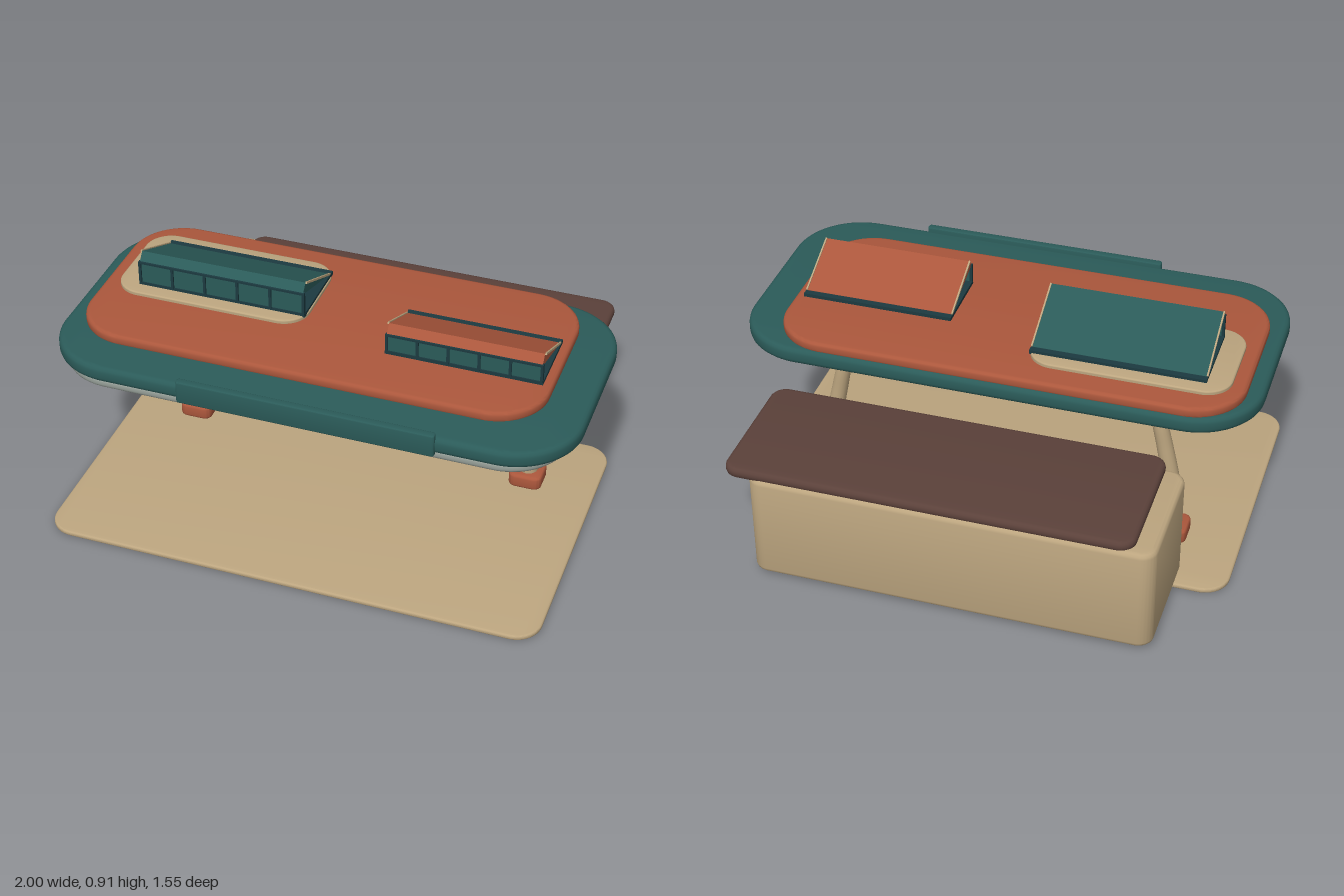
import * as THREE from 'three';
import { toCreasedNormals } from 'three/addons/utils/BufferGeometryUtils.js';

const paint = (name, color) => {
  const m = new THREE.MeshStandardMaterial({ color });
  m.name = name;
  return m;
};

export function createModel() {
  const tan = paint('sand', 0xbca57f);
  const teal = paint('teal', 0x2b5b59);
  const dark = paint('dark teal', 0x1c3a40);
  const rust = paint('rust', 0xab573c);
  const brown = paint('brown', 0x5b413a);
  const grey = paint('pale grey', 0x969f98);

  const model = new THREE.Group();
  model.name = 'fillingStation';

  const add = (name, geo, mat, parent = model) => {
    const mesh = new THREE.Mesh(geo, mat);
    mesh.name = name;
    parent.add(mesh);
    return mesh;
  };

  // Box given by its extents
  const box = (name, mat, x0, x1, y0, y1, z0, z1, parent) => {
    const g = new THREE.BoxGeometry(x1 - x0, y1 - y0, z1 - z0);
    g.translate((x0 + x1) / 2, (y0 + y1) / 2, (z0 + z1) / 2);
    return add(name, g, mat, parent);
  };

  // Flat slab with rounded corners and rounded upper and lower edges
  const slab = (name, mat, x0, x1, y0, y1, z0, z1, r, b, parent) => {
    const w = (x1 - x0) / 2 - b, d = (z1 - z0) / 2 - b, c = Math.max(r - b, 0.003);
    const s = new THREE.Shape();
    s.moveTo(w, -d + c);
    s.absarc(w - c, d - c, c, 0, Math.PI / 2);
    s.absarc(-w + c, d - c, c, Math.PI / 2, Math.PI);
    s.absarc(-w + c, -d + c, c, Math.PI, Math.PI * 1.5);
    s.absarc(w - c, -d + c, c, Math.PI * 1.5, Math.PI * 2);
    const g = new THREE.ExtrudeGeometry(s, {
      depth: y1 - y0 - 2 * b, bevelEnabled: true, bevelSize: b,
      bevelThickness: b, bevelSegments: 3, curveSegments: 10,
    });
    g.rotateX(-Math.PI / 2);
    g.translate((x0 + x1) / 2, y0 + b, (z0 + z1) / 2);
    return add(name, toCreasedNormals(g, 0.6), mat, parent);
  };

  // Forecourt and shop
  slab('forecourt', tan, -0.96, 0.96, 0, 0.02, -0.4, 0.77, 0.1, 0.006);
  slab('shopWalls', tan, -0.77, 0.765, 0.018, 0.445, -0.78, -0.265, 0.06, 0.02);
  slab('shopRoof', brown, -0.69, 0.86, 0.432, 0.475, -0.77, -0.23, 0.06, 0.017);

  // Shop windows: frame, pane and glazing bars
  for (const [x0, x1] of [[-0.665, -0.345], [-0.115, 0.215], [0.36, 0.69]]) {
    const win = new THREE.Group();
    win.name = 'shopWindow';
    model.add(win);
    box('pane', teal, x0 + 0.01, x1 - 0.01, 0.185, 0.375, -0.27, -0.25, win);
    for (const y of [0.175, 0.373]) box('frameRail', dark, x0, x1, y, y + 0.012, -0.27, -0.24, win);
    for (const x of [x0, x1 - 0.012]) box('frameStile', dark, x, x + 0.012, 0.175, 0.385, -0.27, -0.24, win);
    for (const t of [0.25, 0.75]) {
      const x = x0 + t * (x1 - x0);
      box('glazingBar', tan, x - 0.004, x + 0.004, 0.187, 0.373, -0.255, -0.245, win);
    }
    box('transom', tan, x0 + 0.012, x1 - 0.012, 0.332, 0.34, -0.255, -0.245, win);
  }

  // Door with framed light and handle
  const door = new THREE.Group();
  door.name = 'door';
  model.add(door);
  box('doorLeaf', teal, -0.305, -0.125, 0.02, 0.385, -0.27, -0.248, door);
  box('doorPane', dark, -0.28, -0.15, 0.16, 0.345, -0.25, -0.238, door);
  for (const y of [0.15, 0.345]) box('doorRail', grey, -0.287, -0.143, y, y + 0.01, -0.25, -0.225, door);
  for (const x of [-0.287, -0.153]) box('doorStile', grey, x, x + 0.01, 0.15, 0.355, -0.25, -0.225, door);
  box('doorGlass', teal, -0.262, -0.168, 0.175, 0.33, -0.24, -0.232, door);
  box('doorHandle', tan, -0.178, -0.17, 0.17, 0.32, -0.235, -0.218, door);

  // Canopy layers, bottom to top
  slab('soffit', grey, -0.955, 0.955, 0.632, 0.675, -0.255, 0.635, 0.22, 0.015);
  slab('canopyRim', teal, -1, 1, 0.66, 0.725, -0.325, 0.643, 0.26, 0.02);
  slab('canopyTop', rust, -0.94, 0.845, 0.715, 0.76, -0.31, 0.482, 0.2, 0.014);
  slab('roofPad', tan, -0.885, -0.125, 0.755, 0.775, -0.21, 0.21, 0.1, 0.006);
  slab('fasciaPanel', teal, -0.44, 0.53, 0.655, 0.745, 0.626, 0.656, 0.01, 0.005);

  // Roof light: leaning cover, glazed front, end trims and base
  const roofLight = (x0, x1, z0, z1, y0, y1, cover) => {
    const g = new THREE.Group();
    g.name = 'roofLight';
    model.add(g);
    box('base', dark, x0 - 0.006, x1 + 0.006, y0 - 0.012, y0 + 0.004, z0, z1, g);
    const wedge = (name, mat, xa, xb, lift) => {
      const s = new THREE.Shape();
      s.moveTo(-z1, y1 - 0.035);
      s.lineTo(-z0 - 0.025, y0);
      s.lineTo(-z0 - 0.025, y0 + 0.005 + lift);
      s.lineTo(-z1 + 0.03, y1 + lift);
      s.closePath();
      const e = new THREE.ExtrudeGeometry(s, { depth: xb - xa, bevelEnabled: false });
      e.rotateY(Math.PI / 2);
      e.translate(xa, 0, 0);
      add(name, e, mat, g);
    };
    wedge('cover', cover, x0, x1, 0);
    // Trim strips along the sloping edges
    const dz = z1 - 0.03 - z0 - 0.025, dy = y1 - y0 - 0.005;
    for (const x of [x0 - 0.003, x1 + 0.003]) {
      const t = box('edgeTrim', tan, -0.003, 0.003, -0.004, 0.004, -Math.hypot(dz, dy) / 2, Math.hypot(dz, dy) / 2, g);
      t.position.set(x, (y0 + 0.005 + y1) / 2, (z0 + 0.025 + z1 - 0.03) / 2);
      t.rotation.x = -Math.atan2(dy, dz);
    }
    box('frontGlass', teal, x0, x1, y0, y1 - 0.033, z1 - 0.012, z1 - 0.004, g);
    for (let i = 0; i <= 5; i++) {
      const x = x0 + (i / 5) * (x1 - x0);
      box('mullion', dark, x - 0.005, x + 0.005, y0, y1 - 0.03, z1 - 0.012, z1 + 0.003, g);
    }
    box('headRail', dark, x0, x1, y1 - 0.038, y1 - 0.03, z1 - 0.012, z1 + 0.003, g);
  };
  roofLight(-0.79, -0.135, -0.155, 0.155, 0.782, 0.906, teal);
  roofLight(0.225, 0.805, -0.02, 0.26, 0.77, 0.876, rust);

  // Bent, tapering canopy posts with feet and underside struts
  for (const s of [-1, 1]) {
    const post = new THREE.Group();
    post.name = s > 0 ? 'leftPost' : 'rightPost';
    model.add(post);
    const x = s * 0.69;
    slab('foot', rust, x - 0.065, x + 0.065, 0.02, 0.078, -0.172, -0.045, 0.03, 0.012, post);
    const path = new THREE.CatmullRomCurve3([
      [0.692, 0.06, -0.109], [0.685, 0.22, -0.109], [0.648, 0.42, -0.109],
      [0.61, 0.575, -0.105], [0.575, 0.65, -0.06],
    ].map(([a, b, c]) => new THREE.Vector3(s * a, b, c)));
    const n = 24, radial = 16;
    const g = new THREE.TubeGeometry(path, n, 0.038, radial);
    const p = g.attributes.position, v = new THREE.Vector3();
    for (let i = 0; i < p.count; i++) {
      const t = Math.floor(i / (radial + 1)) / n;
      const c = path.getPointAt(t);
      v.fromBufferAttribute(p, i).sub(c).multiplyScalar(1 - 0.3 * t).add(c);
      p.setXYZ(i, v.x, v.y, v.z);
    }
    add('postShaft', g, tan, post);
    const strut = box('strut', rust, -0.014, 0.014, -0.012, 0.012, -0.2, 0.2, post);
    strut.position.set(s * 0.62, 0.619, 0.165);
    strut.rotation.x = -0.09;
    // Underside light panel
    slab('lightPanel', grey, s * 0.465 - 0.265, s * 0.465 + 0.265, 0.624, 0.634, 0.44, 0.53, 0.03, 0.003, post);
  }

  return model;
}
